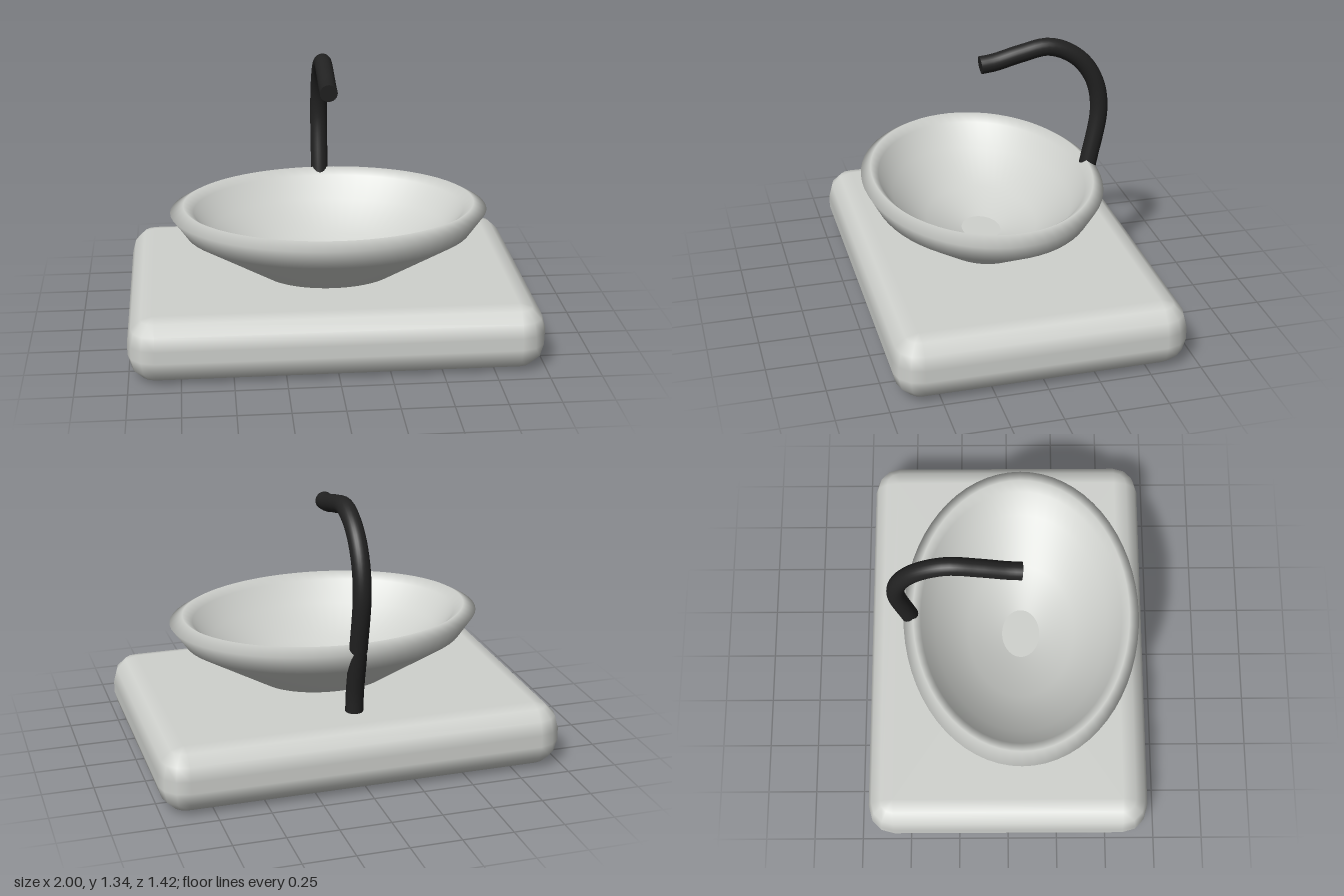
import * as THREE from 'three';

// Box with quarter-round edges: stacked rounded-rectangle rings plus two cap centres.
function roundedSlab(w, h, d, r, steps) {
  const pos = [], nor = [], index = [];
  const add = (x, y, z, nx, ny, nz) => { pos.push(x, y, z); nor.push(nx, ny, nz); };
  const arc = (Math.PI / 2) / steps;
  const ring = 4 * (steps + 1), rows = 2 * (steps + 1);
  for (let half = 0; half < 2; half++) {
    for (let i = 0; i <= steps; i++) {
      const phi = half * Math.PI / 2 + i * arc;
      const ny = Math.cos(phi), s = Math.sin(phi);
      const y = h / 2 + (half ? -1 : 1) * (h / 2 - r) + r * ny;
      for (let q = 0; q < 4; q++) {
        const sx = q === 0 || q === 3 ? 1 : -1, sz = q < 2 ? 1 : -1;
        for (let j = 0; j <= steps; j++) {
          const a = q * Math.PI / 2 + j * arc;
          const nx = s * Math.cos(a), nz = s * Math.sin(a);
          add(sx * (w / 2 - r) + r * nx, y, sz * (d / 2 - r) + r * nz, nx, ny, nz);
        }
      }
    }
  }
  const top = rows * ring, bottom = top + 1;
  add(0, h, 0, 0, 1, 0);
  add(0, 0, 0, 0, -1, 0);
  for (let j = 0; j < ring; j++) {
    const k = (j + 1) % ring;
    index.push(top, k, j);
    for (let i = 0; i < rows - 1; i++) {
      const a = i * ring + j, b = i * ring + k;
      index.push(a, b, a + ring, b, b + ring, a + ring);
    }
    index.push(bottom, (rows - 1) * ring + j, (rows - 1) * ring + k);
  }
  const geo = new THREE.BufferGeometry();
  geo.setAttribute('position', new THREE.Float32BufferAttribute(pos, 3));
  geo.setAttribute('normal', new THREE.Float32BufferAttribute(nor, 3));
  geo.setIndex(index);
  return geo;
}

export function createModel() {
  const model = new THREE.Group();
  const ceramic = new THREE.MeshStandardMaterial({ color: 0xcfd1cd });
  ceramic.name = 'pale grey ceramic';
  const black = new THREE.MeshStandardMaterial({ color: 0x222222 });
  black.name = 'matte black metal';

  const addPart = (name, geometry, material, parent = model) => {
    const mesh = new THREE.Mesh(geometry, material);
    mesh.name = name;
    parent.add(mesh);
    return mesh;
  };

  // Countertop
  addPart('countertop', roundedSlab(2, 0.32, 1.42, 0.13, 3), ceramic);

  // Oval vessel basin: outer wall, rim, then inner wall down to the drain
  const basin = new THREE.Group();
  basin.name = 'basin';
  basin.position.z = 0.07;
  model.add(basin);
  const ratio = 0.752;
  const profile = [
    [0.3, 0.3], [0.71, 0.54], [0.785, 0.645], [0.72, 0.68],
    [0.67, 0.645], [0.58, 0.54], [0.36, 0.405], [0.128, 0.35],
  ].map(([x, y]) => new THREE.Vector2(x, y));
  const bowl = new THREE.LatheGeometry(profile, 64);
  bowl.scale(1, 1, ratio);
  addPart('bowl', bowl, ceramic, basin);
  const drain = new THREE.CircleGeometry(0.128, 48);
  drain.rotateX(-Math.PI / 2);
  drain.scale(1, 1, ratio);
  drain.translate(0, 0.35, 0);
  addPart('drain', drain, ceramic, basin);

  // Gooseneck faucet
  const faucet = new THREE.Group();
  faucet.name = 'faucet';
  model.add(faucet);
  const path = new THREE.CatmullRomCurve3([
    [0.3, -0.43], [0.42, -0.44], [0.67, -0.493], [0.95, -0.54], [1.11, -0.508],
    [1.23, -0.42], [1.297, -0.28], [1.275, -0.13], [1.243, 0], [1.235, 0.07],
  ].map(([y, z]) => new THREE.Vector3(0, y, z)));
  const radius = 0.044;
  addPart('spout', new THREE.TubeGeometry(path, 48, radius, 24), black, faucet);
  const tip = addPart('spoutEnd', new THREE.CircleGeometry(radius, 24), black, faucet);
  tip.position.copy(path.getPoint(1));
  tip.lookAt(tip.position.clone().add(path.getTangent(1)));

  return model;
}
